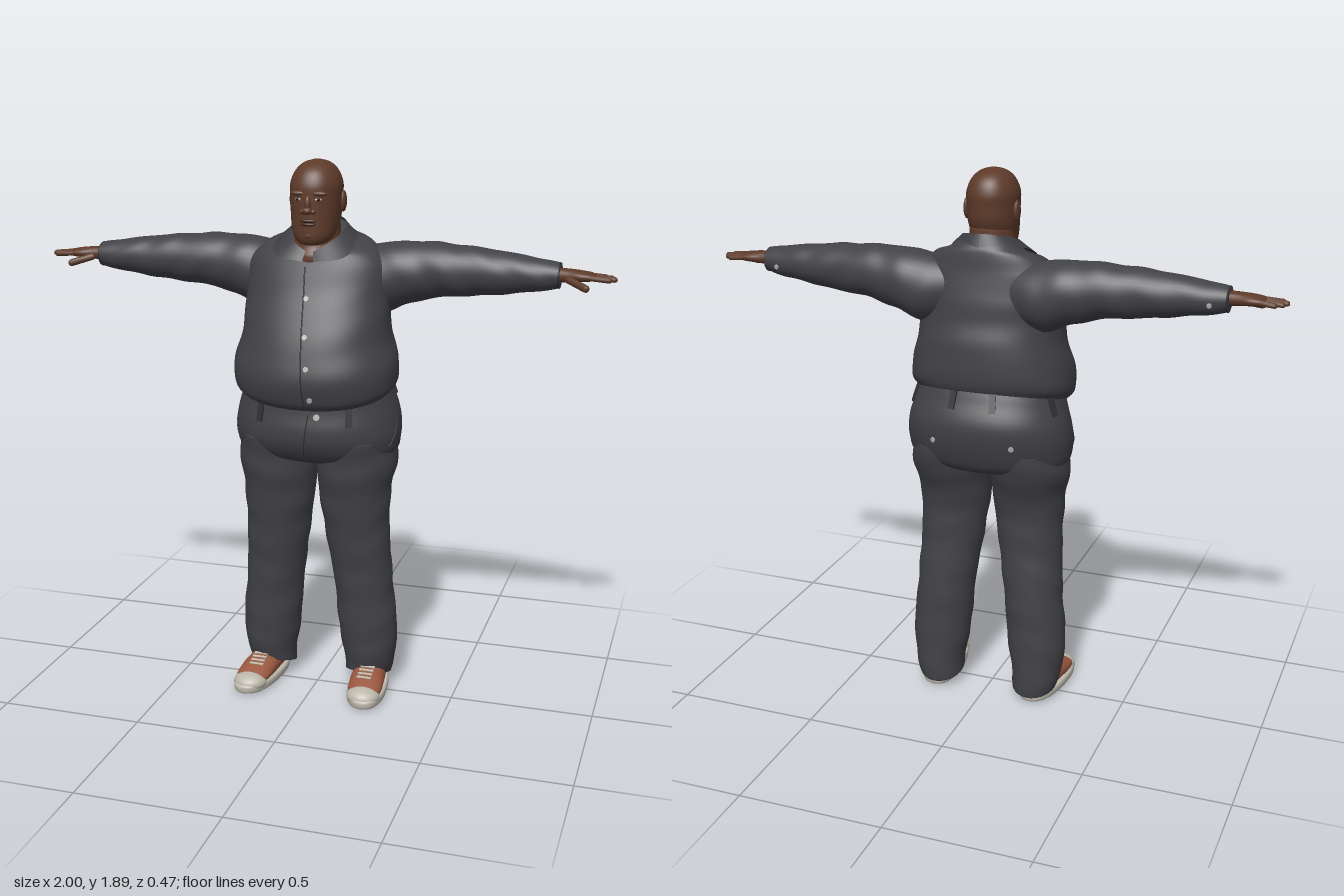
import * as THREE from 'three';

const mat = (name, color, side = THREE.FrontSide) => {
  const m = new THREE.MeshStandardMaterial({ color, side });
  m.name = name;
  return m;
};

// Coordinates for a loft running along each axis: [along, u, v] -> position
const AXES = {
  x: (t, u, v) => [t, v, u],
  y: (t, u, v) => [u, t, v],
  z: (t, u, v) => [v, u, t],
};

// Smooth closed loft through rows of [along, centreU, centreV, radiusU, radiusV]
function loft(rows, { axis = 'y', power = 2, rings = 28, sides = 36, fold = 0, bend } = {}) {
  const pos = [], idx = [];
  const spline = (k, f) => {
    const i = Math.min(Math.floor(f), rows.length - 2), t = f - i;
    const at = (j) => rows[Math.max(0, Math.min(rows.length - 1, j))][k];
    const [a, b, c, d] = [at(i - 1), at(i), at(i + 1), at(i + 2)];
    return b + 0.5 * t * (c - a + t * (2 * a - 5 * b + 4 * c - d + t * (3 * (b - c) + d - a)));
  };
  const push = (t, u, v) => {
    const p = AXES[axis](t, u, v);
    if (bend) bend(p);
    pos.push(...p);
  };
  const shape = (x) => Math.sign(x) * Math.abs(x) ** (2 / power);
  for (let r = 0; r <= rings; r++) {
    const [t, cu, cv, ru, rv] = [0, 1, 2, 3, 4].map((k) => spline(k, (r / rings) * (rows.length - 1)));
    for (let j = 0; j < sides; j++) {
      const a = (j / sides) * Math.PI * 2;
      const s = 1 + fold * Math.sin(t * 46 + 2.2 * Math.sin(a)) * (0.6 + 0.4 * Math.cos(3 * a + t * 17));
      push(t, cu + ru * s * shape(Math.cos(a)), cv + rv * s * shape(Math.sin(a)));
    }
  }
  const end = rows[rows.length - 1];
  push(rows[0][0], rows[0][1], rows[0][2]);
  push(end[0], end[1], end[2]);
  const c0 = (rings + 1) * sides, top = rings * sides;
  for (let j = 0; j < sides; j++) {
    const k = (j + 1) % sides;
    for (let r = 0; r < rings; r++) {
      const a = r * sides + j, b = r * sides + k;
      idx.push(a, a + sides, b, b, a + sides, b + sides);
    }
    idx.push(c0, j, k, c0 + 1, top + k, top + j);
  }
  return surface(pos, idx);
}

function surface(pos, idx) {
  const g = new THREE.BufferGeometry();
  g.setAttribute('position', new THREE.Float32BufferAttribute(pos, 3));
  g.setIndex(idx);
  g.computeVertexNormals();
  return g;
}

// Open sheet from a rule f(u, v) -> [x, y, z]
function sheet(f, nu, nv) {
  const pos = [], idx = [];
  for (let i = 0; i <= nu; i++) for (let j = 0; j <= nv; j++) pos.push(...f(i / nu, j / nv));
  for (let i = 0; i < nu; i++) for (let j = 0; j < nv; j++) {
    const a = i * (nv + 1) + j, b = a + nv + 1;
    idx.push(a, b, a + 1, a + 1, b, b + 1);
  }
  return surface(pos, idx);
}

function mirrored(geo) {
  const g = geo.clone().scale(-1, 1, 1), ix = g.index.array;
  for (let i = 0; i < ix.length; i += 3) [ix[i], ix[i + 1]] = [ix[i + 1], ix[i]];
  g.computeVertexNormals();
  return g;
}

const ball = (x, y, z, rx, ry, rz) => new THREE.SphereGeometry(1, 20, 14).scale(rx, ry, rz).translate(x, y, z);

// Rounded finger between two points
function finger(p, q, r) {
  const a = new THREE.Vector3(...p), b = new THREE.Vector3(...q), d = b.clone().sub(a);
  const turn = new THREE.Quaternion().setFromUnitVectors(new THREE.Vector3(0, 1, 0), d.clone().normalize());
  const mid = a.add(b).multiplyScalar(0.5);
  return new THREE.CapsuleGeometry(r, d.length() - 2 * r, 4, 10).applyQuaternion(turn).translate(mid.x, mid.y, mid.z);
}

export function createModel() {
  const model = new THREE.Group();
  model.name = 'standingMan';
  const cloth = mat('charcoal cloth', 0x424247);
  const trim = mat('dark seam cloth', 0x323236, THREE.DoubleSide);
  const collarCloth = mat('collar cloth', 0x3d3d42, THREE.DoubleSide);
  const skin = mat('brown skin', 0x5e3b2a);
  const lip = mat('dark skin', 0x45291f);
  const eye = mat('eye', 0x16100e);
  const pale = mat('pale button', 0xb4b4b0);
  const rubber = mat('off white rubber', 0xbdb8ac);
  const leather = mat('rust leather', 0x9a5840);

  const add = (name, m, geo) => {
    const mesh = new THREE.Mesh(geo, m);
    mesh.name = name;
    model.add(mesh);
    return mesh;
  };
  const pair = (name, m, geo) => [add(name + 'Left', m, geo), add(name + 'Right', m, mirrored(geo))];
  const clamp = (v) => Math.max(0, Math.min(1, v));

  // Shirt body: hem drops at the front, neckline rises at the back
  const shirt = add('shirtBody', cloth, loft([
    [1.12, 0, 0, 0.262, 0.195], [1.15, 0, 0.01, 0.283, 0.213], [1.22, 0, 0.015, 0.284, 0.221],
    [1.3, 0, 0.008, 0.26, 0.208], [1.4, 0, -0.005, 0.25, 0.175], [1.48, 0, -0.02, 0.25, 0.15],
    [1.55, 0, -0.025, 0.24, 0.13], [1.6, 0, -0.03, 0.19, 0.115], [1.617, 0, -0.035, 0.13, 0.1],
    [1.64, 0, -0.03, 0.095, 0.075],
  ], {
    power: 2.2, rings: 48, sides: 56, fold: 0.008,
    bend: (p) => { p[1] -= p[2] * (0.26 * clamp((1.5 - p[1]) / 0.375) + 0.4 * clamp((p[1] - 1.58) / 0.06)); },
  }));

  // Sleeves
  const sleeves = pair('sleeve', cloth, loft([
    [0.1, -0.06, 1.49, 0.09, 0.1], [0.22, -0.07, 1.49, 0.108, 0.118], [0.32, -0.072, 1.512, 0.097, 0.104],
    [0.42, -0.068, 1.524, 0.088, 0.091], [0.52, -0.062, 1.525, 0.079, 0.083], [0.65, -0.055, 1.526, 0.068, 0.068],
    [0.76, -0.05, 1.526, 0.056, 0.052], [0.815, -0.048, 1.527, 0.047, 0.041],
  ], { axis: 'x', rings: 52, fold: 0.03 }));

  // Hands
  pair('palm', skin, loft([
    [0.78, -0.044, 1.53, 0.028, 0.024], [0.84, -0.042, 1.53, 0.031, 0.022], [0.88, -0.041, 1.53, 0.04, 0.018],
    [0.915, -0.041, 1.529, 0.038, 0.014], [0.928, -0.041, 1.528, 0.03, 0.008],
  ], { axis: 'x', power: 2.4, rings: 16, sides: 20 }));
  [[-0.073, 0.968], [-0.053, 0.99], [-0.031, 1.0], [-0.01, 0.985]].forEach(([z, x], i) =>
    pair('finger' + (i + 1), skin, finger([0.895, 1.53, z * 0.9 - 0.004], [x, 1.524, z], 0.0095)));
  pair('thumb', skin, finger([0.835, 1.522, -0.025], [0.915, 1.497, 0.032], 0.0125));

  // Trousers: seat and legs
  const seat = add('trouserSeat', cloth, loft([
    [0.855, 0, -0.012, 0.13, 0.1], [0.885, 0, -0.015, 0.265, 0.165], [0.95, 0, -0.018, 0.292, 0.2],
    [1.02, 0, -0.02, 0.287, 0.21], [1.09, 0, -0.008, 0.268, 0.19], [1.14, 0, 0, 0.254, 0.178],
  ], {
    power: 2.15, rings: 30, sides: 56,
    bend: (p) => { p[1] -= 0.26 * p[2] * clamp((p[1] - 0.9) / 0.2); },
  }));
  pair('trouserLeg', cloth, loft([
    [0.045, 0.18, -0.045, 0.08, 0.088], [0.1, 0.186, -0.042, 0.09, 0.094], [0.22, 0.181, -0.035, 0.105, 0.097],
    [0.4, 0.165, -0.028, 0.105, 0.102], [0.6, 0.145, -0.008, 0.115, 0.108], [0.75, 0.137, 0, 0.127, 0.125],
    [0.85, 0.142, -0.012, 0.14, 0.153], [0.95, 0.143, -0.018, 0.13, 0.17],
  ], {
    rings: 60, fold: 0.02,
    bend: (p) => { p[1] += 0.3 * (p[2] + 0.045) * clamp((0.2 - p[1]) / 0.15); },
  }));

  // Shoes
  pair('shoeSole', rubber, loft([
    [0, 0.2, 0.037, 0.06, 0.155], [0.005, 0.2, 0.037, 0.069, 0.165], [0.025, 0.2, 0.037, 0.07, 0.167],
    [0.032, 0.2, 0.037, 0.064, 0.16],
  ], { power: 2.4, rings: 9, bend: (p) => { p[0] += 0.1 * (p[2] - 0.03); } }));
  pair('shoeUpper', leather, loft([
    [-0.118, 0.04, 0.188, 0.03, 0.03], [-0.08, 0.05, 0.19, 0.045, 0.052], [0.03, 0.05, 0.2, 0.046, 0.06],
    [0.1, 0.043, 0.207, 0.035, 0.061], [0.16, 0.034, 0.212, 0.02, 0.05], [0.185, 0.03, 0.214, 0.01, 0.03],
  ], { axis: 'z', rings: 20, sides: 24 }));
  pair('toeCap', rubber, ball(0.211, 0.028, 0.142, 0.06, 0.034, 0.055));
  pair('heelPatch', rubber, ball(0.188, 0.04, -0.1, 0.03, 0.026, 0.028));
  for (let i = 0; i < 4; i++) {
    pair('shoeLace' + (i + 1), rubber, new THREE.BoxGeometry(0.052, 0.008, 0.009)
      .rotateX(0.3).translate(0.202, 0.093 - i * 0.006, 0.045 + i * 0.018));
  }

  // Neck and head
  add('neck', skin, loft([
    [1.5, 0, 0, 0.085, 0.09], [1.57, 0, 0.005, 0.084, 0.099], [1.61, 0, 0, 0.08, 0.085], [1.7, 0, -0.005, 0.075, 0.075],
  ], { rings: 14 }));
  const head = add('head', skin, loft([
    [1.607, 0, 0.055, 0.02, 0.025], [1.615, 0, 0.05, 0.046, 0.05], [1.637, 0, 0.038, 0.067, 0.072],
    [1.67, 0, 0.024, 0.078, 0.088], [1.72, 0, 0.012, 0.084, 0.101], [1.77, 0, 0.01, 0.086, 0.104],
    [1.81, 0, 0.008, 0.086, 0.104], [1.85, 0, 0.006, 0.07, 0.087], [1.876, 0, 0.004, 0.043, 0.053],
    [1.887, 0, 0.004, 0.008, 0.01],
  ], { power: 2.15, rings: 44, sides: 40 }));
  pair('ear', skin, ball(0.088, 1.75, -0.005, 0.011, 0.036, 0.021).rotateY(0.03));
  pair('brow', skin, ball(0.034, 1.783, 0.103, 0.03, 0.009, 0.012));
  add('noseBridge', skin, ball(0, 1.747, 0.113, 0.012, 0.03, 0.014));
  add('noseTip', skin, ball(0, 1.727, 0.12, 0.017, 0.013, 0.016));
  pair('nostril', skin, ball(0.017, 1.724, 0.112, 0.011, 0.009, 0.011));
  add('upperLip', lip, ball(0, 1.694, 0.111, 0.03, 0.007, 0.011));
  add('lowerLip', lip, ball(0, 1.682, 0.109, 0.027, 0.007, 0.012));
  add('chin', skin, ball(0, 1.645, 0.092, 0.034, 0.02, 0.02));

  // Details laid on a surface, found by a ray from the front (1), back (-1) or a side
  const ray = new THREE.Raycaster();
  const hit = (target, origin, dir) => {
    ray.set(new THREE.Vector3(...origin), new THREE.Vector3(...dir));
    const h = ray.intersectObject(target)[0];
    return h ? { p: h.point, n: h.face.normal } : null;
  };
  const lay = (name, m, geo, h) => {
    if (!h) return;
    const mesh = add(name, m, geo);
    mesh.position.copy(h.p).addScaledVector(h.n, 0.002);
    mesh.lookAt(h.p.clone().add(h.n));
  };
  const onZ = (t, x, y, s = 1) => hit(t, [x, y, 2 * s], [0, 0, -s]);
  const disc = (r) => new THREE.CylinderGeometry(r, r, 0.006, 14).rotateX(Math.PI / 2);

  for (const s of [-1, 1]) {
    lay('eyeWhite', pale, ball(0, 0, 0, 0.012, 0.0045, 0.003), onZ(head, s * 0.034, 1.764));
    lay('pupil', eye, ball(0, 0, 0.002, 0.0055, 0.005, 0.003), onZ(head, s * 0.034, 1.764));
  }

  // Button placket and buttons
  const line = (name, points, r) => add(name, trim,
    new THREE.TubeGeometry(new THREE.CatmullRomCurve3(points), points.length * 3, r, 6));
  const along = (n, f) => Array.from({ length: n }, (_, i) => f(i / (n - 1))).filter(Boolean).map((h) => h.p);
  line('placketEdge', along(16, (t) => onZ(shirt, -0.012 + 0.03 * t, 1.54 - 0.455 * t)), 0.0025);
  [[0.005, 1.44], [0.015, 1.32], [0.028, 1.22], [0.04, 1.115]].forEach(([x, y]) =>
    lay('shirtButton', pale, disc(0.009), onZ(shirt, x, y)));
  lay('waistButton', pale, disc(0.011), onZ(seat, 0.05, 1.045));
  line('flySeam', along(8, (t) => onZ(seat, 0.02 - 0.02 * t, 1.05 - 0.15 * t)), 0.002);

  // Folded collar around the neck, open at the front
  pair('collar', collarCloth, sheet((u, v) => {
    const a = 0.14 + u * (Math.PI - 0.14), s = Math.sin(a / 2);
    const flap = Math.exp(-(((a - 0.75) / 0.5) ** 2));
    const rx = 0.094 + v * (0.036 + 0.04 * flap), rz = 0.108 + v * (0.018 + 0.03 * flap);
    return [rx * Math.sin(a), 1.583 + 0.107 * s - v * (0.026 + 0.022 * flap + 0.02 * s ** 6), -0.012 + rz * Math.cos(a)];
  }, 28, 4));

  // Belt loops, pocket seams and back pocket buttons
  const loop = () => new THREE.BoxGeometry(0.022, 0.07, 0.012);
  for (const s of [-1, 1]) {
    lay('frontBeltLoop', trim, loop(), onZ(seat, s * 0.155, 1.045));
    lay('backBeltLoop', trim, loop(), onZ(seat, s * 0.07, 1.14, -1));
    lay('sideBeltLoop', trim, loop(), hit(seat, [s * 2, 1.115, -0.09], [-s, 0, 0]));
    lay('backPocketButton', pale, disc(0.009), onZ(seat, s * 0.14, 0.99, -1));
    line('pocketSeam', along(9, (t) => hit(seat, [s * 2, 1.07 - 0.14 * t, 0.005 + 0.05 * t * t], [-s, 0, 0])), 0.002);
    lay('cuffButton', pale, disc(0.008), onZ(sleeves[s > 0 ? 0 : 1], s * 0.76, 1.515, -1));
  }
  // Cuff edges
  pair('cuffEdge', trim, new THREE.TorusGeometry(1, 0.06, 6, 32).scale(0.046, 0.041, 0.05)
    .rotateY(Math.PI / 2).translate(0.812, 1.527, -0.048));
  return model;
}
